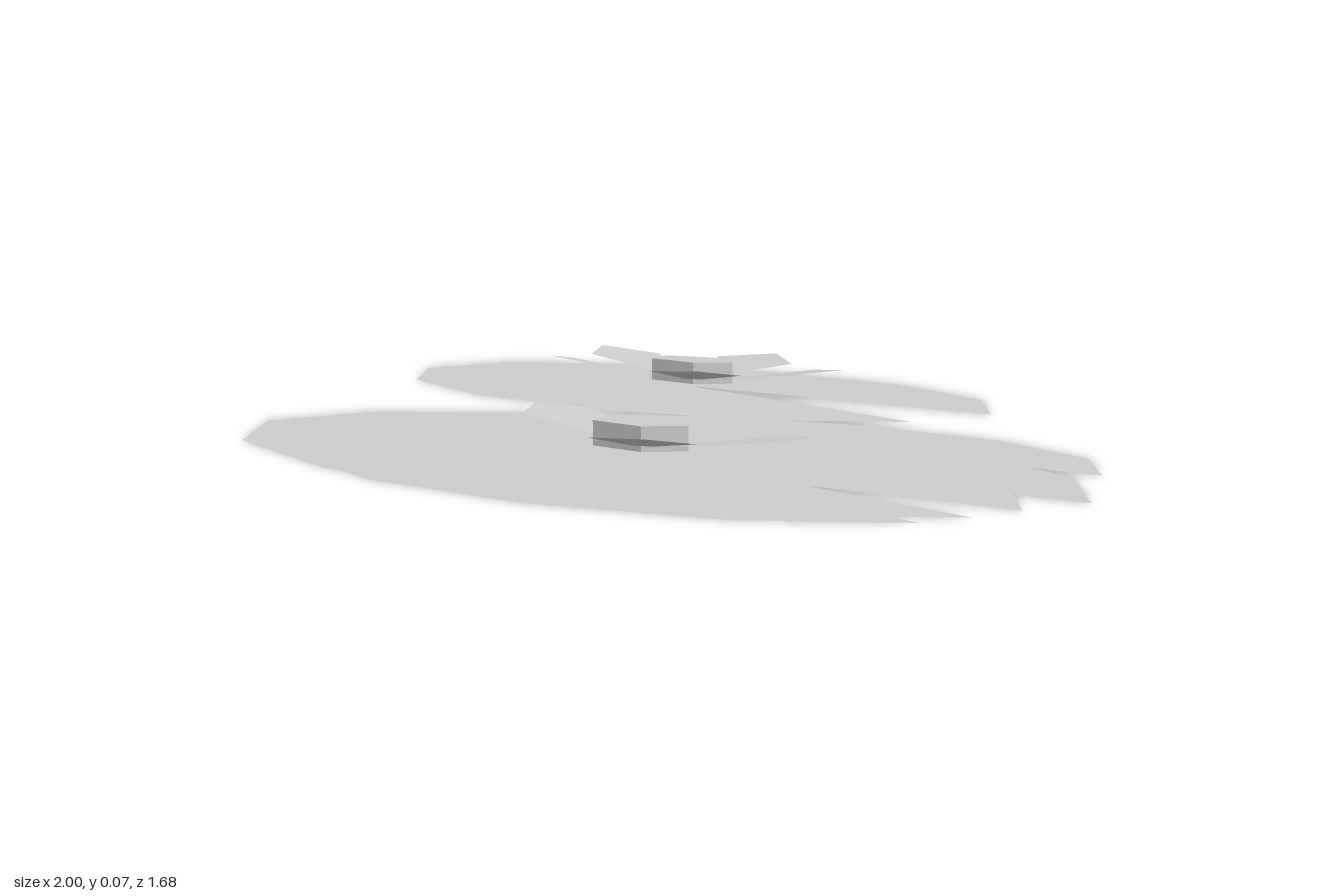
import * as THREE from 'three';

const grey = new THREE.MeshStandardMaterial({ color: 0xcccccc, flatShading: true, side: THREE.DoubleSide });
grey.name = 'pale grey';

// Very shallow 12-sided dome with one wedge missing
function makePad(x, z, rx, rz) {
  const height = 0.008;
  const geo = new THREE.ConeGeometry(1, height, 11, 1, true, Math.PI / 2, Math.PI * 11 / 6);
  geo.translate(0, height / 2, 0);
  const pad = new THREE.Mesh(geo, grey);
  pad.name = 'lilyPad';
  pad.position.set(x, 0, z);
  pad.scale.set(rx, 1, rz);
  return pad;
}

// Kite-shaped petal rising outward, creased along its middle
function makePetalGeometry() {
  const geo = new THREE.BufferGeometry();
  geo.setAttribute('position', new THREE.Float32BufferAttribute([
    0.025, 0.025, 0,
    0.14, 0.058, 0.055,
    0.19, 0.07, 0,
    0.14, 0.058, -0.055,
  ], 3));
  geo.setIndex([0, 1, 2, 0, 2, 3]);
  geo.computeVertexNormals();
  return geo;
}

// Five petals around a pentagonal heart, stretched along x
function makeFlower(x, z) {
  const flower = new THREE.Group();
  flower.name = 'flower';
  const heart = new THREE.Mesh(
    new THREE.CylinderGeometry(0.0525, 0.0525, 0.048, 5, 1, false, Math.PI / 2), grey);
  heart.name = 'flowerHeart';
  heart.position.y = 0.045;
  flower.add(heart);
  const petalGeo = makePetalGeometry();
  for (let i = 0; i < 5; i++) {
    const petal = new THREE.Mesh(petalGeo, grey);
    petal.name = 'petal';
    petal.rotation.y = i * Math.PI * 2 / 5;
    flower.add(petal);
  }
  flower.position.set(x, 0, z);
  flower.scale.x = 2;
  return flower;
}

export function createModel() {
  const model = new THREE.Group();
  model.name = 'waterLilies';
  // Pads: centre x, centre z, radius x, radius z
  const pads = [
    [-0.272, -0.485, 0.728, 0.358],
    [0.105, 0.35, 0.895, 0.44],
    [0.18, 0.47, 0.745, 0.366],
    [0.29, 0.09, 0.63, 0.306],
  ];
  for (const p of pads) model.add(makePad(...p));
  model.add(makeFlower(-0.27, -0.485), makeFlower(0.108, 0.35));
  return model;
}
